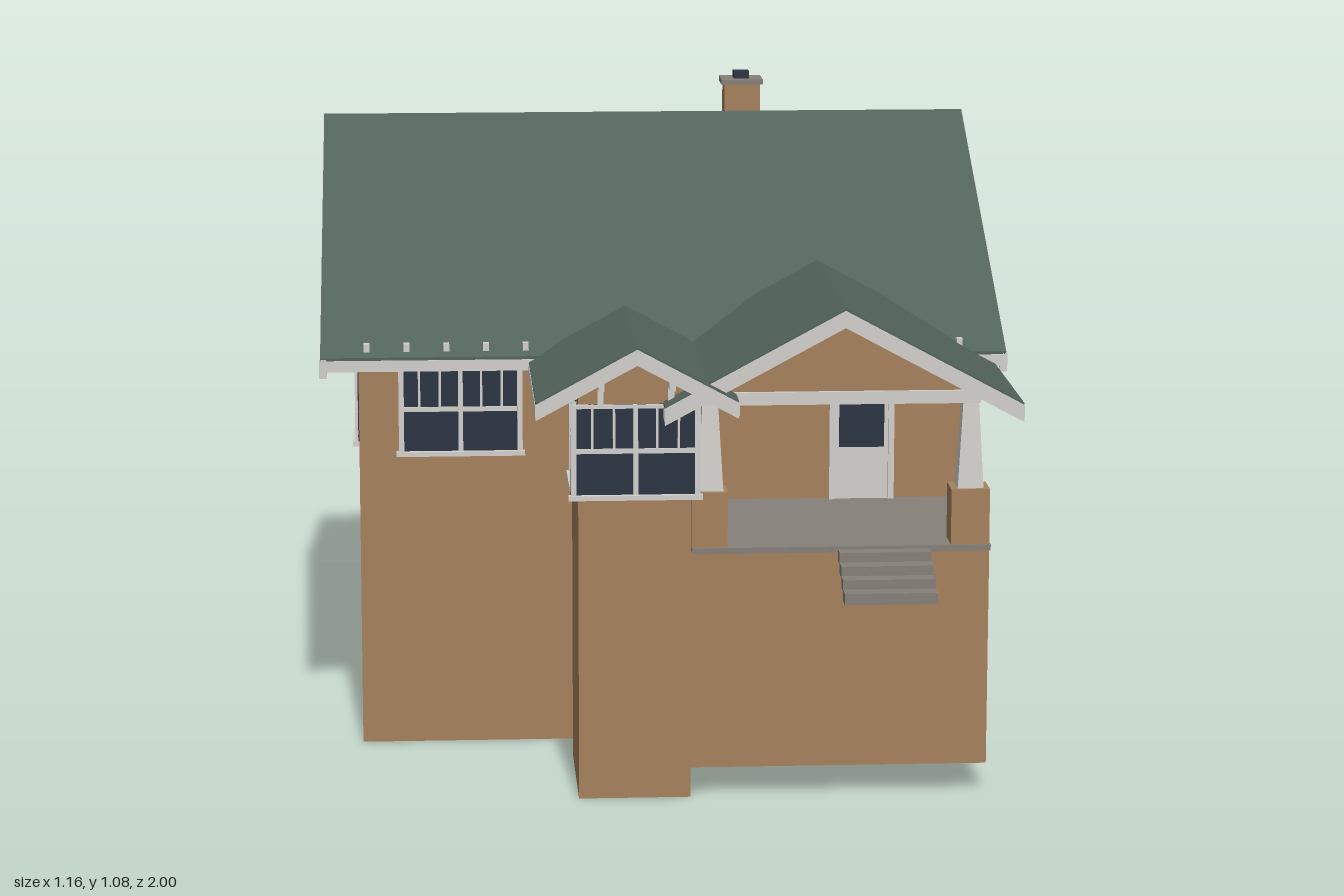
import * as THREE from 'three';

const mat = (name, color, side = THREE.FrontSide) => {
  const m = new THREE.MeshStandardMaterial({ color, side });
  m.name = name;
  return m;
};

export function createModel() {
  const wall = mat('tan wall', 0xa5825d);
  const green = mat('green roofing', 0x52635a);
  const trim = mat('off-white trim', 0xd2d0cb);
  const glass = mat('dark glass', 0x2c3543);
  const stone = mat('grey stone', 0x87807a);
  const model = new THREE.Group();
  model.name = 'bungalow';
  const SLOPE = 0.54;

  const add = (name, geo, material, parent = model) => {
    const mesh = new THREE.Mesh(geo, material);
    mesh.name = name;
    parent.add(mesh);
    return mesh;
  };
  // Box given by its min and max along each axis
  const box = (name, material, x0, x1, y0, y1, z0, z1, parent = model) => {
    const mesh = add(name, new THREE.BoxGeometry(x1 - x0, y1 - y0, z1 - z0), material, parent);
    mesh.position.set((x0 + x1) / 2, (y0 + y1) / 2, (z0 + z1) / 2);
    return mesh;
  };
  // Outline in x and y, extruded from z0 to z1
  const prism = (name, material, points, z0, z1, parent = model) => {
    const shape = new THREE.Shape(points.map(([x, y]) => new THREE.Vector2(x, y)));
    const geo = new THREE.ExtrudeGeometry(shape, { depth: z1 - z0, bevelEnabled: false });
    geo.translate(0, 0, z0);
    return add(name, geo, material, parent);
  };
  // Inverted V outline with its ridge at the given height
  const chevron = (half, ridge, thick) => {
    const eave = ridge - half * SLOPE;
    return [[-half, eave - thick], [0, ridge - thick], [half, eave - thick],
      [half, eave], [0, ridge], [-half, eave]];
  };
  // Gable roof running along z: covering, bargeboards at both ends, eave fascias
  const gableRoof = (name, half, ridge, z0, z1, board) => {
    const g = new THREE.Group();
    g.name = name;
    model.add(g);
    prism('roofCovering', green, chevron(half, ridge, 0.02), z0 + 0.002, z1 - 0.002, g);
    const rake = chevron(half, ridge - 0.003, board);
    prism('bargeboard', trim, rake, z1 - 0.012, z1, g);
    prism('bargeboard', trim, rake, z0, z0 + 0.012, g);
    const eave = ridge - half * SLOPE;
    for (const s of [-1, 1]) {
      const a = s * (half - 0.008), b = s * (half + 0.001);
      box('fascia', trim, Math.min(a, b), Math.max(a, b), eave - 0.024, eave - 0.005, z0, z1, g);
    }
    return g;
  };

  // Sash window facing +z: barred upper sash over a plain lower sash
  const H = 0.155;
  const addWindow = (x, z, turn = 0, units = 1, w = 0.118) => {
    const g = new THREE.Group();
    g.name = 'window';
    g.position.set(x, 0.5825, z);
    g.rotation.y = turn;
    model.add(g);
    const h = H / 2, f = 0.009;
    box('glass', glass, -w / 2, w / 2, -h, h, -0.002, 0.003, g);
    box('headFrame', trim, -w / 2, w / 2, h - 0.006, h, 0, 0.008, g);
    box('sill', trim, -w / 2 - 0.004, w / 2 + 0.004, -h - 0.002, -h + 0.006, 0, 0.012, g);
    box('meetingRail', trim, -w / 2, w / 2, -0.003, 0.005, 0, 0.006, g);
    for (const s of [-1, 1]) {
      const c = s * (w / 2 - f / 2);
      box('sideFrame', trim, c - f / 2, c + f / 2, -h, h, 0, 0.008, g);
    }
    const uw = w / units;
    for (let u = 0; u < units; u++) {
      const left = -w / 2 + u * uw;
      if (u > 0) box('mullion', trim, left - 0.004, left + 0.004, -h, h, 0, 0.007, g);
      for (const k of [1, 2]) {
        const c = left + (uw * k) / 3;
        box('glazingBar', trim, c - 0.002, c + 0.002, 0, h, 0, 0.005, g);
      }
    }
  };

  // Main body: foundation and gabled upper storey
  box('foundation', wall, -0.515, 0.513, 0, 0.42, -0.555, 0.53);
  const upper = prism('upperWalls', wall,
    [[-0.5425, 0.42], [0.5425, 0.42], [0.5425, 0.698], [0, 0.99], [-0.5425, 0.698]], -0.515, 0.513);
  upper.rotation.y = Math.PI / 2;
  upper.position.z = -0.0125;

  // Main roof, ridge along x
  const mainRoof = gableRoof('mainRoof', 0.615, 1.017, -0.58, 0.58, 0.032);
  mainRoof.rotation.y = Math.PI / 2;
  mainRoof.position.z = -0.02;

  // Rafter tails showing through at the eaves
  for (let i = 0; i < 16; i++) {
    const x = -0.5 + i * 0.0667;
    const backHidden = x > -0.36 && x < 0;
    const frontHidden = x > -0.2 && x < 0.49;
    if (!frontHidden) box('rafterTail', trim, x - 0.005, x + 0.005, 0.67, 0.705, 0.567, 0.582);
    if (!backHidden) box('rafterTail', trim, x - 0.005, x + 0.005, 0.67, 0.705, -0.625, -0.61);
  }
  // Gable brackets
  for (const s of [-1, 1])
    for (const z of [0.33, -0.36])
      box('gableBracket', trim, s > 0 ? 0.51 : -0.572, s > 0 ? 0.572 : -0.512, 0.768, 0.808, z - 0.006, z + 0.006);

  // Rear extension with a single-pitch roof
  const side = [[0.555, 0], [0.965, 0], [0.965, 0.7], [0.555, 0.803]];
  const ext = prism('rearExtension', wall, side, 0.025, 0.335);
  ext.rotation.y = Math.PI / 2;
  ext.scale.set(1, 1, 1);
  // outline x becomes -z, extrusion becomes x
  ext.position.x = -0.36;
  const extRoof = prism('rearExtensionRoof', green,
    [[0.525, 0.812], [1.0, 0.712], [1.0, 0.725], [0.525, 0.825]], -0.355, -0.01);
  extRoof.rotation.y = Math.PI / 2;

  // Front bay with gable
  const bayX = -0.065;
  prism('frontBay', wall,
    [[-0.158, 0], [0.025, 0], [0.025, 0.685], [bayX, 0.738], [-0.158, 0.685]], 0.63, 0.885);
  gableRoof('bayRoof', 0.163, 0.763, 0.555, 0.945, 0.026).position.x = bayX;
  for (const x of [bayX - 0.057, bayX + 0.057]) {
    box('bayBracketPost', trim, x - 0.005, x + 0.005, 0.66, 0.705, 0.885, 0.897);
    box('bayBracketArm', trim, x - 0.005, x + 0.005, 0.69, 0.705, 0.885, 0.935);
  }

  // Porch base, floor, pedestals and tapered columns
  box('porchBase', wall, 0.025, 0.513, 0.05, 0.41, 0.53, 0.885);
  box('porchFloor', stone, 0.027, 0.515, 0.41, 0.42, 0.53, 0.888);
  for (const [x0, x1, cx] of [[0.026, 0.085, 0.057], [0.45, 0.513, 0.482]]) {
    box('pedestal', wall, x0, x1, 0.42, 0.512, 0.828, 0.884);
    const col = add('taperedColumn', new THREE.CylinderGeometry(0.0175, 0.03, 0.15, 4, 1, false, Math.PI / 4), trim);
    col.geometry = col.geometry.toNonIndexed();
    col.geometry.computeVertexNormals();
    col.position.set(cx, 0.587, 0.856);
    box('sideBeam', trim, cx - 0.014, cx + 0.014, 0.656, 0.677, 0.53, 0.885);
  }
  box('frontBeam', trim, 0.045, 0.495, 0.656, 0.677, 0.84, 0.888);
  box('porchCeiling', trim, 0.05, 0.49, 0.668, 0.676, 0.53, 0.85);
  prism('porchGable', wall, [[0.055, 0.677], [0.485, 0.677], [0.27, 0.795]], 0.47, 0.882);
  gableRoof('porchRoof', 0.29, 0.82, 0.45, 0.93, 0.028).position.x = 0.27;

  // Front steps
  for (let i = 0; i < 4; i++) {
    const top = 0.415 - i * 0.0155, z = 0.885 + i * 0.0288;
    box('step', stone, 0.265, 0.415, top - 0.0185, top, z, z + 0.0288);
  }

  // Front door with glazed upper half
  box('doorPanel', trim, 0.295, 0.386, 0.42, 0.635, 0.53, 0.535);
  box('doorGlass', glass, 0.302, 0.379, 0.51, 0.628, 0.533, 0.537);
  box('doorJamb', trim, 0.285, 0.295, 0.42, 0.642, 0.53, 0.541);
  box('doorJamb', trim, 0.386, 0.396, 0.42, 0.642, 0.53, 0.541);
  box('doorHead', trim, 0.285, 0.396, 0.632, 0.642, 0.53, 0.541);

  // Windows
  addWindow(-0.343, 0.53, 0, 2, 0.21);
  addWindow(bayX, 0.885, 0, 2, 0.21);
  for (const z of [0.39, 0.123, -0.145, -0.415]) {
    addWindow(0.513, z, Math.PI / 2);
    addWindow(-0.515, z, -Math.PI / 2);
  }
  addWindow(0.025, 0.76, Math.PI / 2);
  addWindow(-0.158, 0.76, -Math.PI / 2);
  addWindow(-0.025, -0.755, Math.PI / 2);
  addWindow(-0.335, -0.755, -Math.PI / 2);
  addWindow(-0.18, -0.965, Math.PI);
  addWindow(0.34, -0.555, Math.PI);

  // Chimney
  box('chimney', wall, 0.152, 0.217, 0.9, 1.056, -0.153, -0.094);
  box('chimneyCap', stone, 0.146, 0.222, 1.056, 1.065, -0.159, -0.088);
  box('chimneyFlue', glass, 0.17, 0.198, 1.065, 1.078, -0.137, -0.11);

  return model;
}
